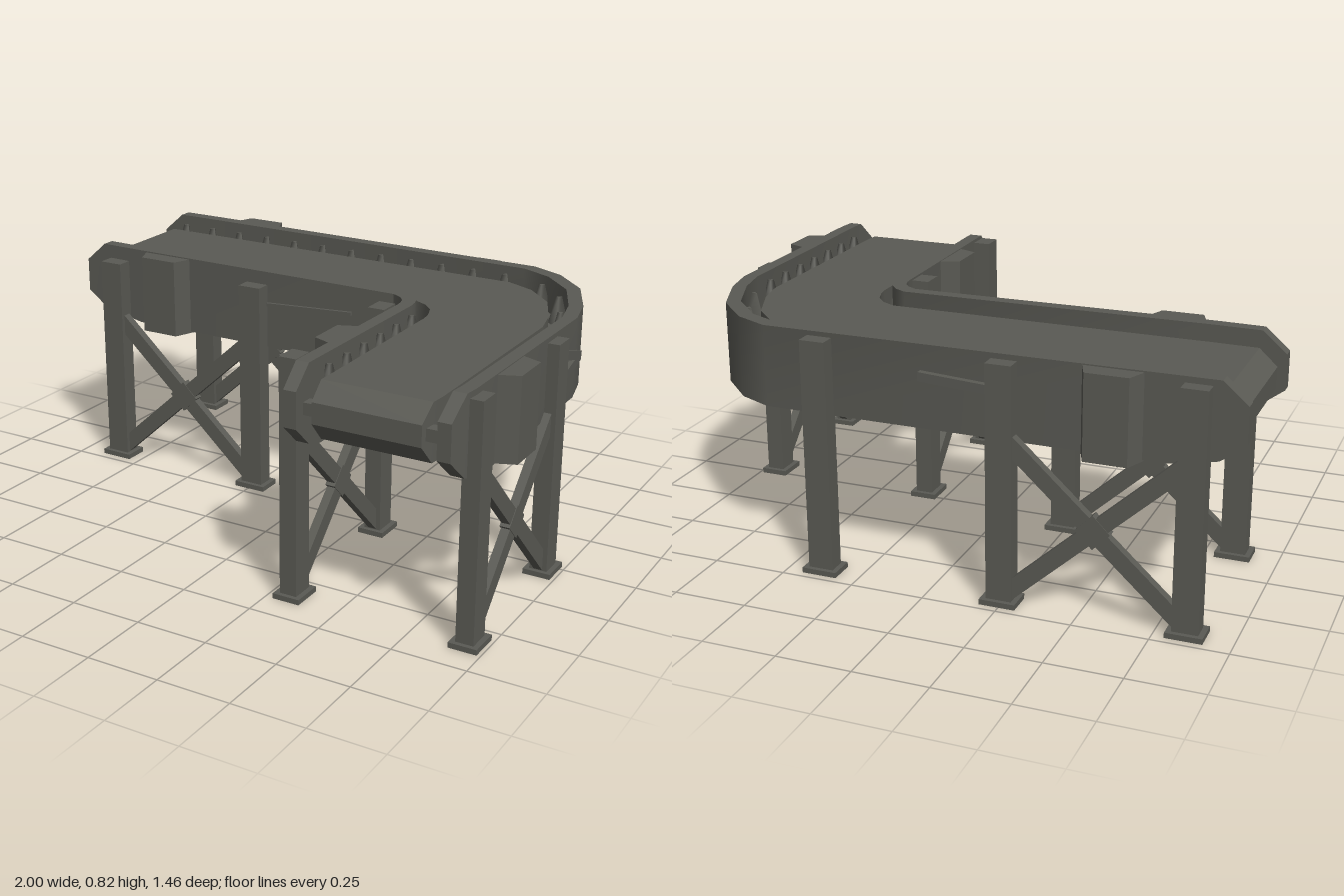
import * as THREE from 'three';
import { toCreasedNormals } from 'three/addons/utils/BufferGeometryUtils.js';

// Cross-sections of the L-shaped run: inner edge x,z / outer edge x,z / low y, high y
const RUN = [
  [-1, -0.105, -1, -0.66, 0.63, 0.75],
  [-0.92, -0.105, -0.92, -0.66, 0.57, 0.82],
  [-0.76, -0.1, -0.76, -0.66, 0.54, 0.82],
  [0.30, -0.1, 0.58, -0.655, 0.54, 0.815],
  [0.335, -0.08, 0.7, -0.6, 0.54, 0.815],
  [0.355, -0.055, 0.82, -0.48, 0.54, 0.815],
  [0.363, -0.025, 0.9, -0.3, 0.54, 0.815],
  [0.365, 0.0, 0.93, -0.17, 0.54, 0.815],
  [0.365, 0.6, 0.93, 0.6, 0.54, 0.82],
  [0.365, 0.655, 0.925, 0.655, 0.56, 0.82],
  [0.365, 0.73, 0.915, 0.73, 0.63, 0.75],
];
const across = (s, t) => [s[0] + (s[2] - s[0]) * t, s[1] + (s[3] - s[1]) * t];

// Solid band along the run between two fractions of its width
function band(sections, t0, t1, heights) {
  const rings = sections.map((s, i) => {
    const a = across(s, t0), b = across(s, t1), [lo, hi] = heights(s, i);
    return [[a[0], lo, a[1]], [a[0], hi, a[1]], [b[0], hi, b[1]], [b[0], lo, b[1]]];
  });
  const out = [];
  const quad = (a, b, c, d) => out.push(...a, ...b, ...c, ...a, ...c, ...d);
  for (let i = 0; i < rings.length - 1; i++) {
    const p = rings[i], q = rings[i + 1];
    for (let k = 0; k < 4; k++) quad(p[k], q[k], q[(k + 1) % 4], p[(k + 1) % 4]);
  }
  const e = rings[rings.length - 1];
  quad(...rings[0]);
  quad(e[3], e[2], e[1], e[0]);
  const g = new THREE.BufferGeometry();
  g.setAttribute('position', new THREE.Float32BufferAttribute(out, 3));
  return toCreasedNormals(g, 0.5);
}

export function createModel() {
  const model = new THREE.Group();
  model.name = 'curvedConveyor';
  const steel = new THREE.MeshStandardMaterial({ color: 0x5a5a54 });
  steel.name = 'darkSteel';

  const add = (name, geo, x = 0, y = 0, z = 0, parent = model) => {
    const m = new THREE.Mesh(geo, steel);
    m.name = name;
    m.position.set(x, y, z);
    parent.add(m);
    return m;
  };
  const box = (name, w, h, d, x, y, z, parent) =>
    add(name, new THREE.BoxGeometry(w, h, d), x, y, z, parent);

  // Straight bar between two points
  const bar = (name, a, b, w, d, parent) => {
    const p = new THREE.Vector3(...a), q = new THREE.Vector3(...b);
    const m = box(name, w, d, p.distanceTo(q), 0, 0, 0, parent);
    m.position.copy(p).lerp(q, 0.5);
    m.lookAt(q);
    return m;
  };

  // Side rails with tapered ends
  const full = s => [s[4], s[5]];
  add('innerRail', band(RUN, 0, 0.08, full));
  add('outerRail', band(RUN, 0.92, 1, full));

  // Belt loop with blunt noses at both ends
  const beltRun = RUN.map(s => [...s]);
  beltRun[0][0] = beltRun[0][2] = -0.98;
  beltRun[10][1] = beltRun[10][3] = 0.71;
  const last = RUN.length - 1;
  add('belt', band(beltRun, 0.155, 0.815, (s, i) =>
    i === 0 || i === last ? [0.65, 0.72] : [0.585, 0.775]));

  // Ledges carrying the belt between the rails
  const middle = RUN.slice(2, 9);
  add('innerLedge', band(middle, 0.075, 0.16, () => [0.6, 0.69]));
  add('outerLedge', band(middle, 0.81, 0.925, () => [0.6, 0.69]));

  // Axles joining the rails at both ends
  bar('leftAxle', [-0.94, 0.685, -0.63], [-0.94, 0.685, -0.13], 0.04, 0.04);
  bar('frontAxle', [0.38, 0.685, 0.67], [0.9, 0.685, 0.67], 0.04, 0.04);

  // Triangular gussets along the insides of the rails
  const gusset = (x, z, r) => {
    const g = new THREE.CylinderGeometry(0.012, 0.042, 0.11, 3);
    add('gusset', g, x, 0.735, z).rotation.y = r;
  };
  for (let i = 0; i < 12; i++) gusset(-0.88 + i * 0.125, -0.59, Math.PI);
  for (let i = 0; i < 7; i++) {
    gusset(0.865, -0.1 + i * 0.11, Math.PI / 2);
    if (i > 0) gusset(0.425, -0.1 + i * 0.11, -Math.PI / 2);
  }
  for (const s of RUN.slice(4, 7)) gusset(...across(s, 0.88), 2.4);

  // Bulging covers bolted on the outside of the rails
  const plan = new THREE.Shape();
  plan.moveTo(-0.1, -0.01);
  plan.lineTo(0.1, -0.01);
  plan.lineTo(0.07, 0.065);
  plan.lineTo(-0.07, 0.065);
  plan.closePath();
  const coverGeo = new THREE.ExtrudeGeometry(plan, { depth: 0.28, bevelEnabled: false });
  coverGeo.rotateX(-Math.PI / 2);
  for (const [x, z, r] of [[-0.59, -0.66, 0], [-0.63, -0.102, Math.PI],
    [0.93, 0.36, -Math.PI / 2], [0.365, 0.36, Math.PI / 2]]) {
    add('railCover', coverGeo, x, 0.535, z).rotation.y = r;
  }

  // Legs with flat feet; alongX tells which way the rail runs
  const leg = (x, z, top, alongX) => {
    const g = new THREE.Group();
    g.name = 'leg';
    const [w, d] = alongX ? [0.085, 0.06] : [0.06, 0.08];
    box('post', w, top, d, x, top / 2, z, g);
    box('foot', w + 0.035, 0.018, d + 0.03, x, 0.009, z, g);
    model.add(g);
  };
  // Two legs joined by a crossed brace
  const trestle = (a, b, top, alongX) => {
    leg(...a, top, alongX);
    leg(...b, top, alongX);
    for (const [p, q] of [[a, b], [b, a]])
      bar('crossBrace', [p[0], 0.02, p[1]], [q[0], 0.57, q[1]], 0.03, 0.055);
    const mid = [(a[0] + b[0]) / 2, (a[1] + b[1]) / 2];
    const plate = box('bracePlate', alongX ? 0.08 : 0.034, 0.08, alongX ? 0.034 : 0.08, mid[0], 0.295, mid[1]);
    plate.rotation[alongX ? 'z' : 'x'] = Math.PI / 4;
  };
  trestle([-0.85, -0.68], [-0.245, -0.68], 0.8, true);
  trestle([-0.85, -0.075], [-0.245, -0.075], 0.77, true);
  trestle([0.325, 0.035], [0.325, 0.6], 0.815, false);
  trestle([0.94, 0.035], [0.94, 0.6], 0.8, false);
  leg(0.38, -0.68, 0.8, true);

  // Slim handles on the rail faces
  bar('backHandle', [-0.2, 0.71, -0.685], [0.03, 0.72, -0.675], 0.02, 0.03);
  bar('frontHandle', [-0.2, 0.7, -0.095], [0.14, 0.72, -0.095], 0.012, 0.012);
  bar('sideHandle', [0.945, 0.74, 0.0], [0.925, 0.68, -0.2], 0.03, 0.03);
  bar('sideHandle', [0.945, 0.66, 0.0], [0.925, 0.68, -0.2], 0.03, 0.03);

  return model;
}
